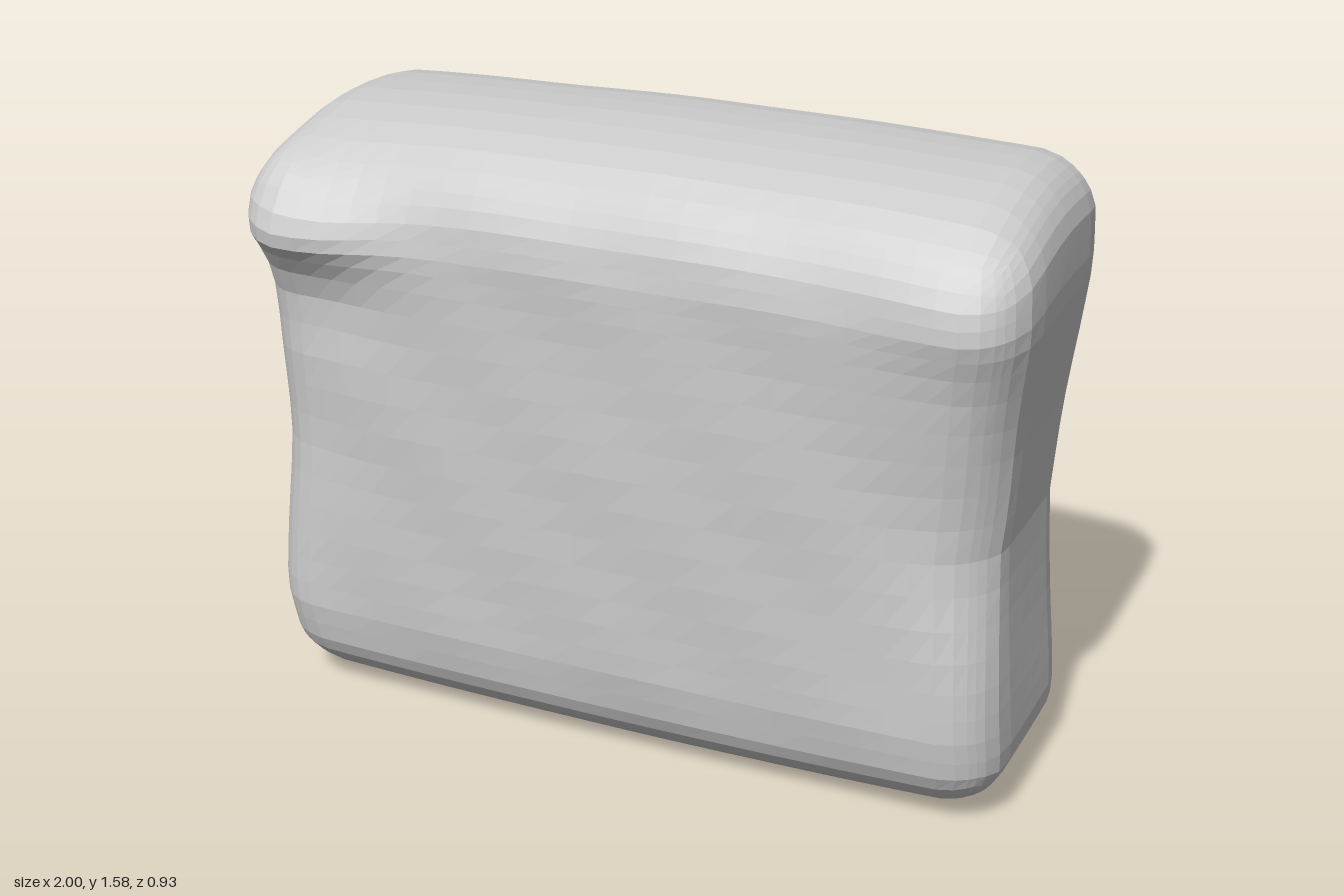
import * as THREE from 'three';

const { clamp, lerp, smoothstep } = THREE.MathUtils;

// linear interpolation through [position, value] pairs
function profile(pairs, t) {
  for (let i = 1; i < pairs.length; i++) {
    const [t0, a] = pairs[i - 1], [t1, b] = pairs[i];
    if (t <= t1) return lerp(a, b, clamp((t - t0) / (t1 - t0), 0, 1));
  }
  return pairs[pairs.length - 1][1];
}

const bump = (x, y, cx, cy, rx, ry) => Math.exp(-(((x - cx) / rx) ** 2) - ((y - cy) / ry) ** 2);

// outline of each side by height
const FRONT = [[0, 0.3], [0.1, 0.335], [0.25, 0.36], [0.5, 0.37], [0.8, 0.378], [1.1, 0.38], [1.33, 0.385], [1.58, 0.36]];
const BACK = [[0, 0.3], [0.3, 0.325], [0.8, 0.335], [1.2, 0.352], [1.45, 0.355], [1.58, 0.34]];
const RIGHT = [[0, 0.96], [0.15, 0.98], [0.7, 0.94], [1.0, 0.965], [1.3, 1.0], [1.58, 0.99]];
const LEFT = [[0, 0.97], [0.28, 1.0], [0.7, 0.975], [1.35, 0.975], [1.58, 0.97]];
const H = 1.58;

// diagonal crest across the back: its height and how far it stands out, by x
const CREST_Y = [[-0.9, 0.12], [-0.3, 0.32], [0.1, 0.5], [0.45, 0.77], [0.95, 0.8]];
const CREST_OUT = [[-0.9, 0.025], [-0.3, 0.05], [0.1, 0.085], [0.45, 0.145], [0.62, 0.085], [0.95, 0]];
function fold(x, y) {
  const cy = profile(CREST_Y, x), out = profile(CREST_OUT, x);
  const spread = lerp(0.12, 0.24, smoothstep(x, -0.2, 0.45));
  const slope = y < cy ? y / cy : Math.exp(-(((y - cy) / spread) ** 2));
  const hollow = y > cy ? 0.07 * smoothstep(y - cy, 0, 0.12) * bump(x, y, -0.06, 0.58, 0.26, 0.17) : 0;
  return out * slope - hollow;
}

// blend of even spacing and spacing that gathers toward the edges
const spaced = t => 0.5 * t + 0.5 * Math.sin(t * Math.PI / 2);

function deform(p) {
  // rounded block
  const half = new THREE.Vector3(1, H / 2, 0.36), r = 0.15;
  const raw = new THREE.Vector3(spaced(p.x), spaced(p.y), spaced(p.z)).multiply(half);
  const limit = half.clone().subScalar(r);
  const core = raw.clone().clamp(limit.clone().negate(), limit);
  const q = raw.sub(core).normalize().multiplyScalar(r).add(core);
  const y = q.y + H / 2;
  const x = q.x * profile(q.x > 0 ? RIGHT : LEFT, y);
  let z = q.z / half.z;
  const face = smoothstep(Math.abs(z), 0.2, 0.9);
  if (z > 0) {
    z *= profile(FRONT, y);
    z += face * (0.085 * bump(x, y, -0.88, 1.39, 0.24, 0.16)    // pinched upper corner
      + 0.02 * bump(x, y, 0.85, 1.38, 0.25, 0.2)
      - 0.075 * bump(x, y, 0.98, 0.78, 0.26, 0.32)              // sides drawn in at mid height
      - 0.05 * bump(x, y, -0.98, 0.75, 0.26, 0.3)
      - 0.025 * bump(x, y, -0.8, 1.1, 0.18, 0.13));
  } else {
    z *= profile(BACK, y);
    z += face * (0.03 * smoothstep(x, 0.6, 1) + 0.03 * bump(x, y, 1, 0.75, 0.2, 0.35)
      - 0.02 * smoothstep(-x, 0.3, 0.9) - fold(x, y));
  }
  // crowned top leaning to the front, softly bowed base
  const up = smoothstep(y, 1.1, H), down = 1 - smoothstep(y, 0, 0.4);
  const lean = z > -0.05 ? 0.6 : 0.3;
  let yy = y - up * (lean * (z + 0.05) ** 2 + 0.025 * x * x) + down * (0.02 * x * x + 0.15 * z * z);
  yy += up * 0.06 * bump(x, z, -0.9, 0.42, 0.14, 0.12);
  // slight unevenness of the surface
  const n = Math.sin(x * 9.1 + y * 5.3) * Math.sin(y * 8.7 - z * 4.1 + x * 3);
  return new THREE.Vector3(x + n * 0.003, yy + n * 0.003, z + n * 0.004);
}

export function createModel() {
  const group = new THREE.Group();
  group.name = 'cushion';

  let geometry = new THREE.BoxGeometry(2, 2, 2, 28, 24, 10);
  const pos = geometry.attributes.position;
  const v = new THREE.Vector3();
  for (let i = 0; i < pos.count; i++) {
    const q = deform(v.fromBufferAttribute(pos, i));
    pos.setXYZ(i, q.x, q.y, q.z);
  }

  // stand on the ground, centred
  geometry.computeBoundingBox();
  const box = geometry.boundingBox, c = box.getCenter(new THREE.Vector3());
  geometry.translate(-c.x, -box.min.y, -c.z);
  geometry = geometry.toNonIndexed();
  geometry.computeVertexNormals();

  const mesh = new THREE.Mesh(geometry, new THREE.MeshStandardMaterial({ color: 0xcccccc, flatShading: true }));
  mesh.name = 'cushionBody';
  group.add(mesh);
  return group;
}
